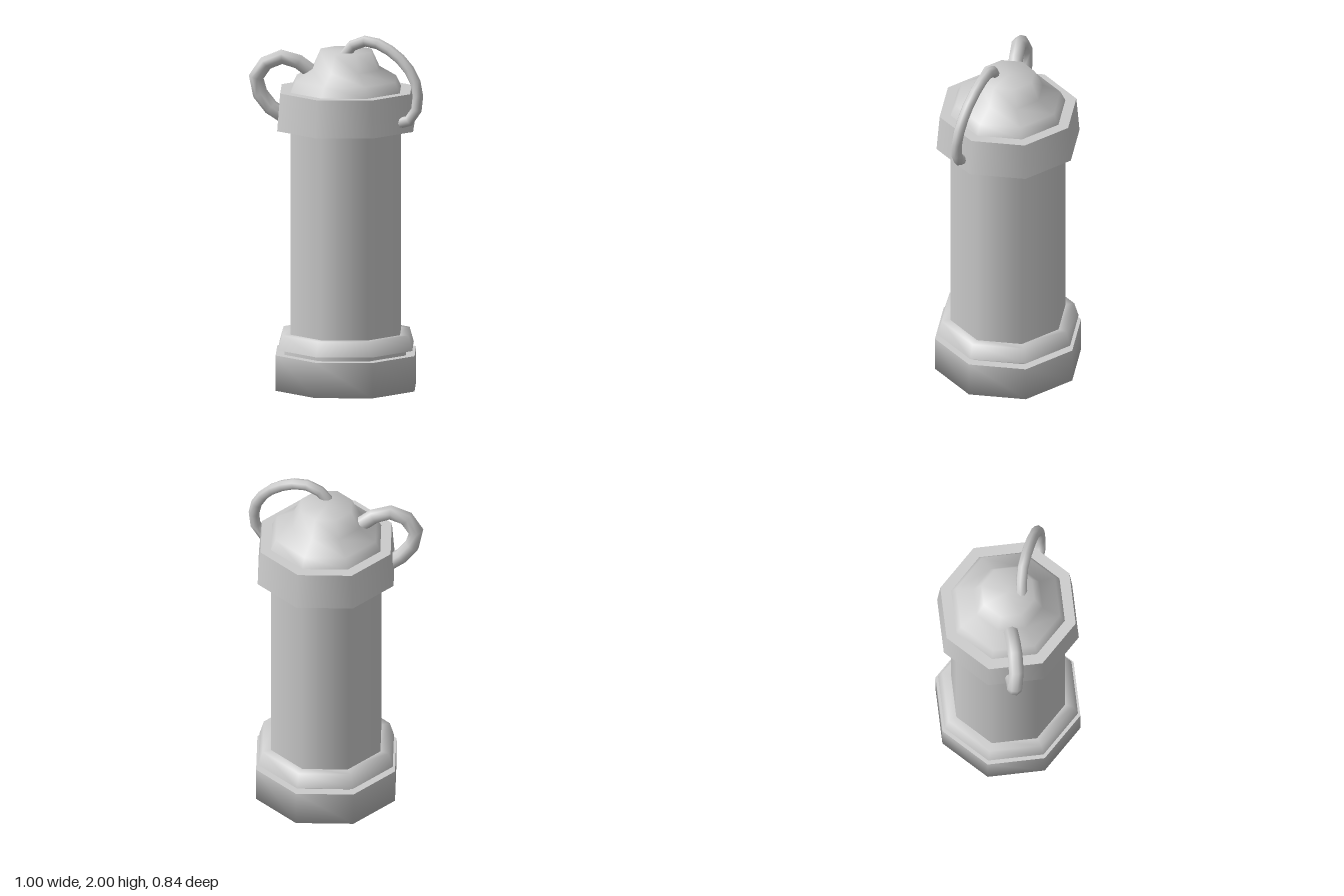
import * as THREE from 'three';

const material = new THREE.MeshStandardMaterial({ color: 0xcccccc });

// Eight-sided turned part; each profile is smooth, with sharp edges between profiles.
function turned(name, ...profiles) {
  const part = new THREE.Group();
  part.name = name;
  profiles.forEach((profile, i) => {
    const points = profile.map(([r, y]) => new THREE.Vector2(r, y));
    const mesh = new THREE.Mesh(new THREE.LatheGeometry(points, 8), material);
    mesh.name = `${name}Surface${i + 1}`;
    part.add(mesh);
  });
  return part;
}

// Bent tube with faceted segments and smooth shading.
function handle(name, path, radius, segments) {
  const curve = new THREE.CatmullRomCurve3(path.map((p) => new THREE.Vector3(...p)));
  const mesh = new THREE.Mesh(new THREE.TubeGeometry(curve, segments, radius, 8), material);
  mesh.name = name;
  mesh.material = material.clone();
  mesh.material.side = THREE.DoubleSide;
  return mesh;
}

export function createModel() {
  const model = new THREE.Group();
  model.name = 'canister';

  const vessel = new THREE.Group();
  vessel.name = 'vessel';
  vessel.position.x = 0.01;
  vessel.add(
    // Foot, recessed groove and sloped ring
    turned('base', [[0, 0], [0.419, 0], [0.419, 0.2]], [[0.419, 0.2], [0.36, 0.2]]),
    turned('groove', [[0.365, 0.2], [0.365, 0.23]]),
    turned('baseRing', [[0.36, 0.228], [0.405, 0.228]], [[0.405, 0.228], [0.38, 0.312], [0.32, 0.312]]),
    // Main cylinder
    turned('body', [[0.33, 0.3], [0.33, 1.48]]),
    // Flared collar under the cap
    turned('collar',
      [[0.32, 1.468], [0.41, 1.468]],
      [[0.41, 1.468], [0.392, 1.68]],
      [[0.392, 1.68], [0.32, 1.68]]),
    // Stepped dome cap
    turned('cap', [[0.33, 1.678], [0.3, 1.74], [0.2, 1.8], [0.153, 1.9], [0, 1.9]])
  );
  model.add(vessel);

  // Small loop on the right side of the cap
  model.add(handle('rightHandle', [
    [-0.165, 1.775, 0.065], [-0.23, 1.83, 0.095], [-0.31, 1.862, 0.13], [-0.405, 1.825, 0.165],
    [-0.462, 1.73, 0.175], [-0.425, 1.625, 0.16], [-0.345, 1.54, 0.13], [-0.31, 1.52, 0.11]
  ], 0.043, 7));

  // Long loop from the top of the cap to the left side of the collar
  model.add(handle('leftHandle', [
    [0.03, 1.88, 0.075], [0.075, 1.94, 0.06], [0.15, 1.97, 0.047], [0.25, 1.95, 0.043],
    [0.375, 1.87, 0.043], [0.45, 1.77, 0.046], [0.473, 1.68, 0.052], [0.455, 1.575, 0.06],
    [0.405, 1.53, 0.07], [0.35, 1.52, 0.07]
  ], 0.031, 11));

  return model;
}
